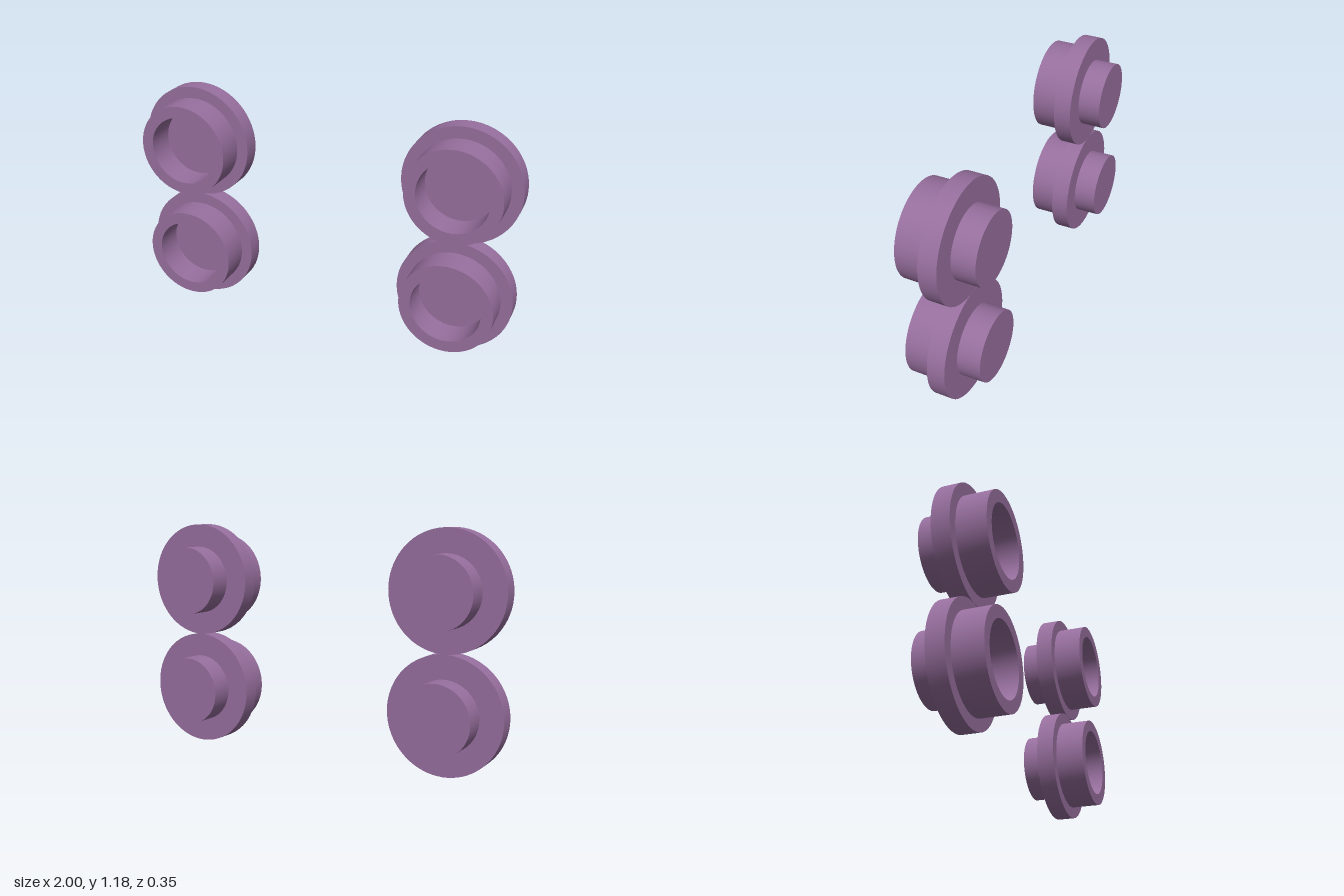
import * as THREE from 'three';
import { toCreasedNormals } from 'three/addons/utils/BufferGeometryUtils.js';

const FLANGE_R = 0.294, CUP_R = 0.235, STUD_R = 0.176;
const BACK = -0.176, FLANGE_BACK = -0.059, FLANGE_FRONT = 0.03, FRONT = 0.176;

// One turned piece: solid stud at the back, wide flange, hollow cup at the front
function studGeometry() {
  const profile = [
    [0, BACK], [STUD_R, BACK], [STUD_R, FLANGE_BACK],
    [FLANGE_R, FLANGE_BACK], [FLANGE_R, FLANGE_FRONT],
    [CUP_R, FLANGE_FRONT], [CUP_R, FRONT],
    [STUD_R, FRONT], [STUD_R, FLANGE_FRONT], [0, FLANGE_FRONT],
  ].map(([r, z]) => new THREE.Vector2(r, z));
  const lathe = new THREE.LatheGeometry(profile, 72);
  lathe.rotateX(Math.PI / 2); // lathe axis now points to the front
  return toCreasedNormals(lathe, Math.PI / 6);
}

export function createModel() {
  const model = new THREE.Group();
  model.name = 'flangedStuds';
  const material = new THREE.MeshStandardMaterial({ color: 0x976f9e });
  const geometry = studGeometry();

  // Two stacked pieces on each side, flanges touching
  for (const [side, x] of [['left', 0.706], ['right', -0.706]]) {
    for (const [level, y] of [['Lower', FLANGE_R], ['Upper', 3 * FLANGE_R]]) {
      const stud = new THREE.Mesh(geometry, material);
      stud.name = `${side}${level}Stud`;
      stud.position.set(x, y, 0);
      model.add(stud);
    }
  }
  return model;
}
